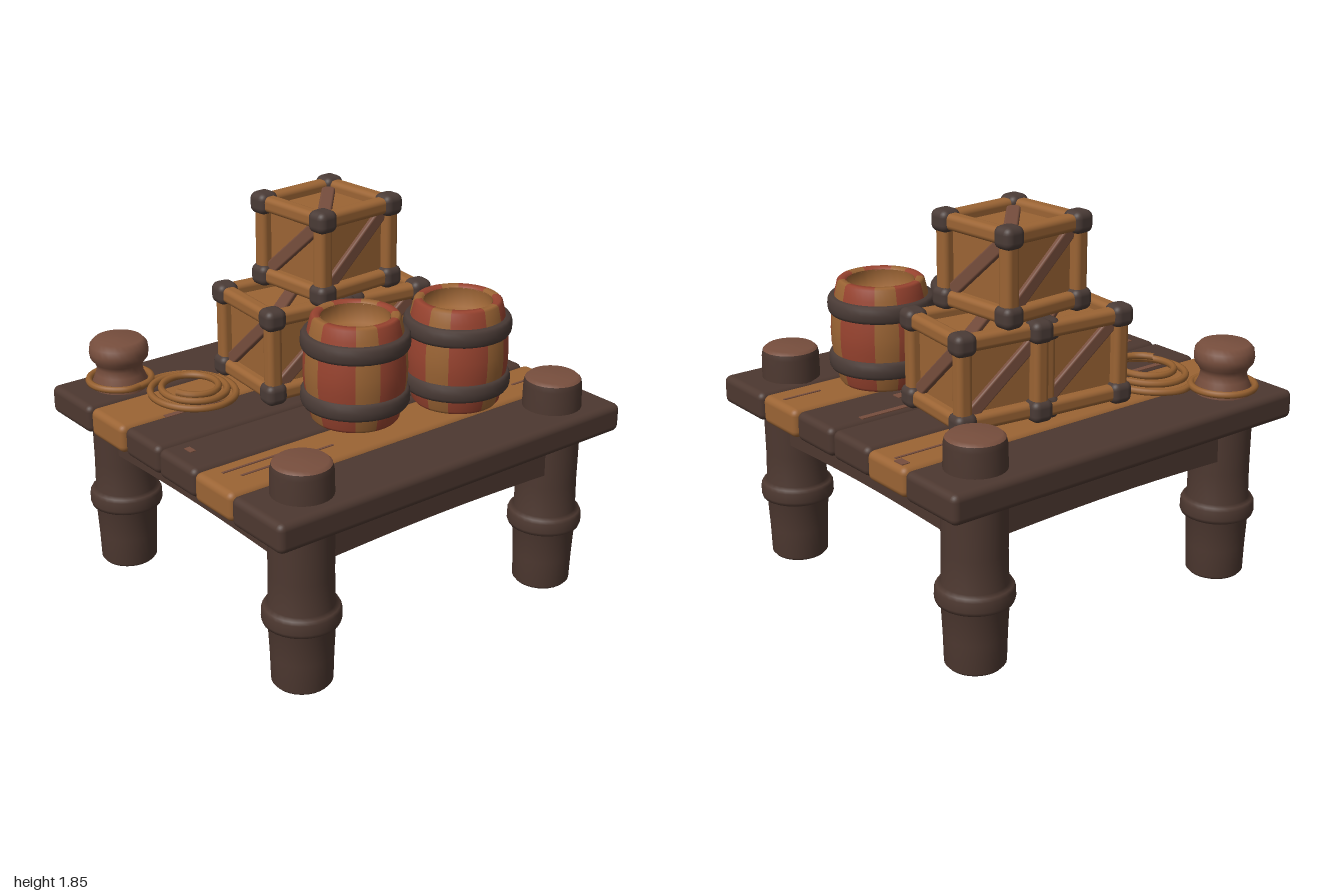
import * as THREE from 'three';
import { RoundedBoxGeometry } from 'three/addons/geometries/RoundedBoxGeometry.js';

const mat = (name, color) => Object.assign(new THREE.MeshStandardMaterial({ color }), { name });
const DARK = mat('dark wood', 0x4d3830);
const TAN = mat('tan wood', 0x9b6434);
const BROWN = mat('worn brown wood', 0x774e3d);
const RED = mat('red paint', 0x98432f);
const IRON = mat('iron bands', 0x4a3b36);
const ROPE = mat('rope', 0x96602f);
for (const m of [TAN, RED]) m.side = THREE.DoubleSide;

function add(parent, name, geo, material, x = 0, y = 0, z = 0) {
  const mesh = new THREE.Mesh(geo, material);
  mesh.name = name;
  mesh.position.set(x, y, z);
  parent.add(mesh);
  return mesh;
}
const rbox = (w, h, d, r) => new RoundedBoxGeometry(w, h, d, 3, r);
const lathe = (pts, seg = 28, start = 0, len = Math.PI * 2) =>
  new THREE.LatheGeometry(pts.map(p => new THREE.Vector2(...p)), seg, start, len);

// Crate: recessed panels, round-edged frame, corner blocks, one brace per face
function makeCrate(name, w, h) {
  const g = new THREE.Group();
  g.name = name;
  const a = w / 2 - 0.055, b = h / 2 - 0.05;
  add(g, 'cratePanels', new THREE.BoxGeometry(w - 0.13, h - 0.12, w - 0.13), TAN);
  for (const s of [-1, 1]) for (const t of [-1, 1]) {
    add(g, 'crateRailX', rbox(2 * a, 0.075, 0.075, 0.025), TAN, 0, s * b, t * a);
    add(g, 'crateRailZ', rbox(0.075, 0.075, 2 * a, 0.025), TAN, s * a, t * b, 0);
    add(g, 'cratePost', rbox(0.075, 2 * b, 0.075, 0.025), TAN, s * a, 0, t * a);
    for (const u of [-1, 1])
      add(g, 'cornerBlock', rbox(0.11, 0.105, 0.11, 0.035), IRON, s * a, u * b, t * a);
  }
  const brace = (rx, ry, hh, depth, dir) => {
    const face = new THREE.Group();
    face.name = 'braceFace';
    face.rotation.set(rx, ry, 0);
    const len = 2 * Math.hypot(a, hh) - 0.1;
    add(face, 'diagonalBrace', rbox(len, 0.065, 0.035, 0.01), BROWN, 0, 0, depth)
      .rotation.z = dir * Math.atan2(hh, a);
    g.add(face);
  };
  for (let k = 0; k < 4; k++) brace(0, k * Math.PI / 2, b, w / 2 - 0.06, 1);
  brace(-Math.PI / 2, 0, a, h / 2 - 0.055, -1);
  brace(Math.PI / 2, 0, a, h / 2 - 0.055, 1);
  return g;
}

// Open barrel: alternating painted staves, two hoops, hollow top
function makeBarrel(name, turn) {
  const g = new THREE.Group();
  g.name = name;
  const stave = [[0, 0.005], [0.195, 0.005], [0.207, 0.02], [0.226, 0.1], [0.24, 0.2], [0.242, 0.27],
    [0.236, 0.36], [0.218, 0.45], [0.206, 0.5], [0.195, 0.51], [0.17, 0.51], [0.16, 0.495]];
  const period = Math.PI * 2 / 5, tan = period * 0.38;
  for (let i = 0; i < 5; i++) {
    const p = turn + i * period;
    add(g, 'tanStave', lathe(stave, 4, p, tan), TAN);
    add(g, 'redStave', lathe(stave, 6, p + tan, period - tan), RED);
  }
  add(g, 'barrelInside', lathe([[0.16, 0.5], [0.172, 0.4], [0, 0.4]]), TAN);
  for (const y of [0.12, 0.39])
    add(g, 'hoop', lathe([[0.22, -0.042], [0.243, -0.04], [0.252, -0.025], [0.254, 0], [0.252, 0.025],
      [0.243, 0.04], [0.22, 0.042]], 32), IRON, 0, y, 0);
  return g;
}

export function createModel() {
  const model = new THREE.Group();
  model.name = 'dock';

  // Deck planks running front to back
  const edges = [-0.932, -0.576, -0.29, -0.004, 0.29, 0.575, 0.932];
  const woods = [DARK, TAN, DARK, DARK, TAN, DARK];
  const lengths = [2, 1.99, 1.97, 1.975, 1.99, 2];
  for (let i = 0; i < 6; i++)
    add(model, 'deckPlank', rbox(edges[i + 1] - edges[i] - 0.004, 0.14, lengths[i], 0.033), woods[i],
      (edges[i] + edges[i + 1]) / 2, 0.86, 0);

  // Worn patches and grain lines on the planks: x, z, width, length, wood
  const marks = [[0.03, -0.68, 0.03, 0.25, BROWN], [0.16, -0.42, 0.05, 0.2, BROWN], [-0.27, 0.62, 0.03, 0.3, BROWN],
    [-0.5, -0.95, 0.06, 0.04, BROWN], [0.1, 0.88, 0.05, 0.03, BROWN], [-0.45, -0.8, 0.012, 0.3, BROWN],
    [0.45, 0.6, 0.012, 0.5, BROWN], [0.38, 0.75, 0.012, 0.3, BROWN], [0.45, -0.85, 0.012, 0.2, BROWN]];
  for (const [x, z, w, l, m] of marks)
    add(model, 'wornPatch', new THREE.BoxGeometry(w, 0.005, l), m, x, 0.931, z);

  // Legs with collars, and posts rising through the deck
  const leg = [[0, 0], [0.125, 0], [0.138, 0.015], [0.142, 0.15], [0.15, 0.3], [0.172, 0.312], [0.178, 0.33],
    [0.176, 0.375], [0.168, 0.39], [0.148, 0.4], [0.145, 0.55], [0.147, 0.8]];
  for (const sx of [-1, 1]) for (const sz of [-1, 1]) {
    add(model, 'leg', lathe(leg), DARK, sx * 0.72, 0, sz * 0.737);
    if (sx < 0 && sz > 0) continue;
    add(model, 'cornerPost', lathe([[0.14, 0.9], [0.137, 1.04], [0.131, 1.066]]), DARK, sx * 0.73, 0, sz * 0.737);
    add(model, 'postTop', lathe([[0.131, 1.066], [0.115, 1.08], [0, 1.083]]), BROWN, sx * 0.73, 0, sz * 0.737);
  }

  // Mooring bollard at the front corner
  add(model, 'bollard', lathe([[0.135, 0.92], [0.132, 0.96], [0.115, 1], [0.108, 1.03], [0.118, 1.055],
    [0.138, 1.08], [0.143, 1.11], [0.138, 1.145], [0.115, 1.17], [0, 1.173]]), BROWN, -0.73, 0, 0.73);

  // Beams under the deck, arched a little along the bottom
  const arch = (len, alongX) => {
    const geo = new THREE.BoxGeometry(len, 0.19, 0.19, 12, 1, 1).toNonIndexed();
    const p = geo.attributes.position;
    for (let i = 0; i < p.count; i++)
      if (p.getY(i) < 0) p.setY(i, -0.095 + 0.018 * Math.cos(p.getX(i) / len * Math.PI));
    if (!alongX) geo.rotateY(Math.PI / 2);
    geo.computeVertexNormals();
    return geo;
  };
  for (const s of [-1, 1]) {
    add(model, 'crossBeam', arch(1.44, true), DARK, 0, 0.712, s * 0.737);
    add(model, 'sideBeam', arch(1.474, false), DARK, s * 0.72, 0.712, 0);
  }

  // Stacked crates
  const crates = [['frontCrate', 0.55, 0.47, -0.287, 1.168, 0.045, -0.09],
    ['backCrate', 0.54, 0.468, -0.23, 1.167, -0.33, -0.115],
    ['topCrate', 0.525, 0.455, -0.235, 1.617, -0.147, 0.07]];
  for (const [name, w, h, x, y, z, turn] of crates) {
    const c = makeCrate(name, w, h);
    c.position.set(x, y, z);
    c.rotation.y = turn;
    model.add(c);
  }

  // Barrels
  for (const [name, x, z, turn] of [['frontBarrel', 0.27, 0.08, -0.36], ['backBarrel', 0.4, -0.425, 0.2]]) {
    const b = makeBarrel(name, turn);
    b.position.set(x, 0.93, z);
    model.add(b);
  }

  // Rope: one turn round the bollard, then a shrinking coil on the deck
  const path = [];
  for (let i = 0; i <= 14; i++) {
    const a = 6.2 - i / 14 * 6;
    path.push(new THREE.Vector3(-0.73 + 0.15 * Math.cos(a), 0.962, 0.73 + 0.15 * Math.sin(a)));
  }
  for (let i = 0; i <= 44; i++) {
    const t = i / 44, a = Math.PI + t * 17;
    const r = 0.25 - 0.12 * Math.min(1, t * 1.15);
    path.push(new THREE.Vector3(-0.395 + 0.03 * t + r * Math.cos(a), 0.95 + 0.055 * t, 0.55 + r * 0.9 * Math.sin(a)));
  }
  add(model, 'rope', new THREE.TubeGeometry(new THREE.CatmullRomCurve3(path), 240, 0.017, 8), ROPE);
  return model;
}
